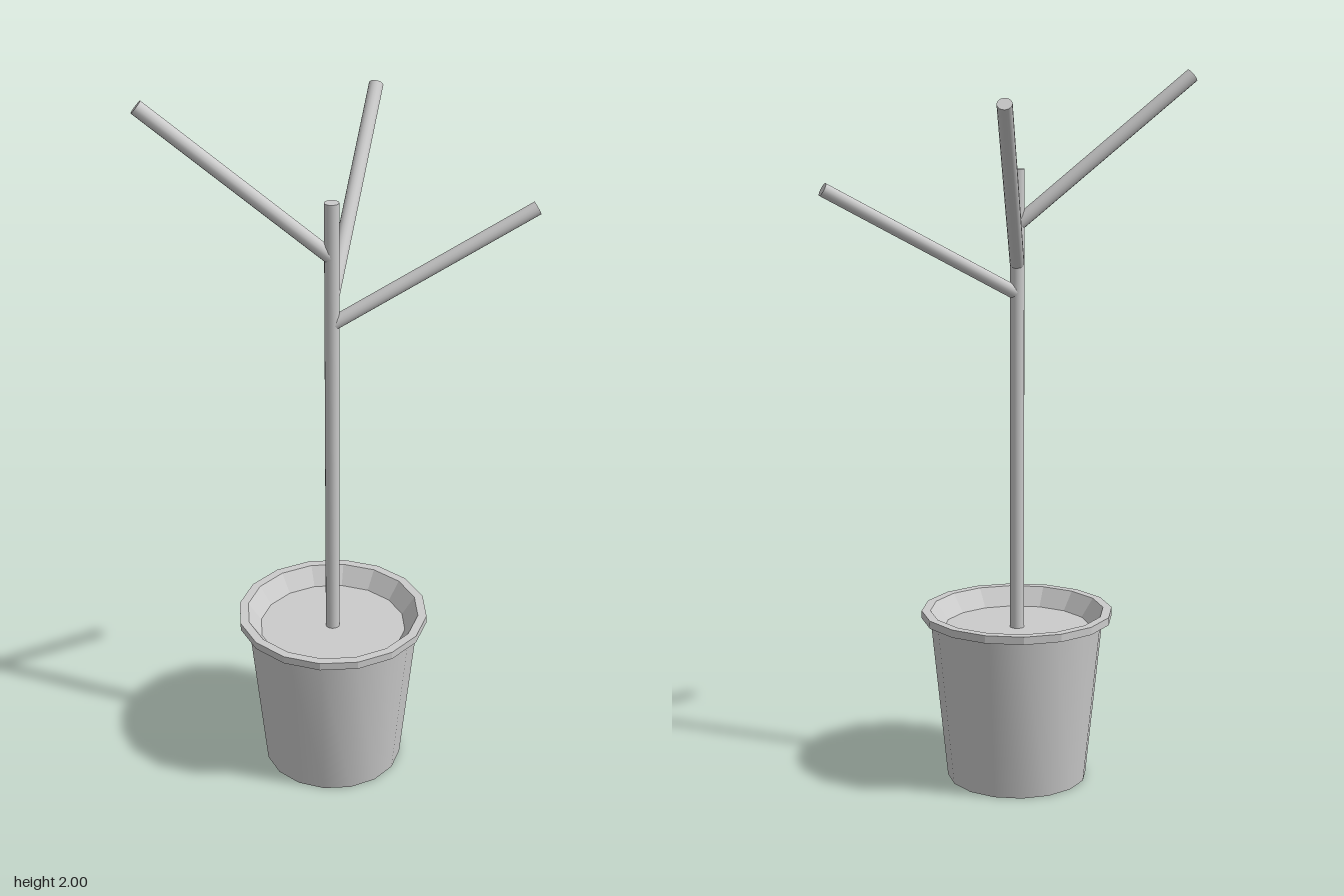
import * as THREE from 'three';
import { toCreasedNormals } from 'three/addons/utils/BufferGeometryUtils.js';

const grey = new THREE.MeshStandardMaterial({ color: 0xcccccc });
const flatGrey = new THREE.MeshStandardMaterial({ color: 0xcccccc, flatShading: true });
const SIDES = 16;

function addMesh(parent, name, geometry, material = grey) {
  const mesh = new THREE.Mesh(geometry, material);
  mesh.name = name;
  parent.add(mesh);
  return mesh;
}

// Turned shape from [radius, height] pairs, listed along the outside upwards
function turned(profile) {
  return new THREE.LatheGeometry(profile.map(([r, y]) => new THREE.Vector2(r, y)), SIDES);
}

// Round stick between two points
function addStick(parent, name, from, to, radius) {
  const a = new THREE.Vector3(...from);
  const b = new THREE.Vector3(...to);
  const direction = b.clone().sub(a);
  const stick = addMesh(parent, name, new THREE.CylinderGeometry(radius, radius, direction.length(), SIDES));
  stick.position.copy(a).add(b).multiplyScalar(0.5);
  stick.quaternion.setFromUnitVectors(new THREE.Vector3(0, 1, 0), direction.normalize());
}

export function createModel() {
  const model = new THREE.Group();
  model.name = 'pottedTree';

  // Everything is placed around the trunk axis, which sits off centre
  const plant = new THREE.Group();
  plant.name = 'plant';
  plant.position.set(-0.047, 0, 0.018);
  model.add(plant);

  // Tapered pot with closed base
  addMesh(plant, 'potBody', toCreasedNormals(turned([[0, 0], [0.2, 0], [0.247, 0.47]]), 0.6));

  // Projecting lip and sloping inner wall
  addMesh(plant, 'potRim', turned([
    [0.247, 0.47], [0.272, 0.47], [0.272, 0.492], [0.247, 0.492], [0.21, 0.44],
  ]), flatGrey);

  // Soil surface
  addMesh(plant, 'soil', turned([[0.21, 0.44], [0, 0.44]]), flatGrey);

  // Trunk and three bare branches
  addStick(plant, 'trunk', [0, 0.43, 0], [0, 1.736, 0], 0.02);
  addStick(plant, 'lowerBranch', [0, 1.395, 0], [0.478, 1.69, 0.263], 0.019);
  addStick(plant, 'middleBranch', [0, 1.475, 0], [0.367, 1.913, -0.278], 0.02);
  addStick(plant, 'upperBranch', [0, 1.585, 0], [-0.384, 1.987, -0.304], 0.02);

  return model;
}
